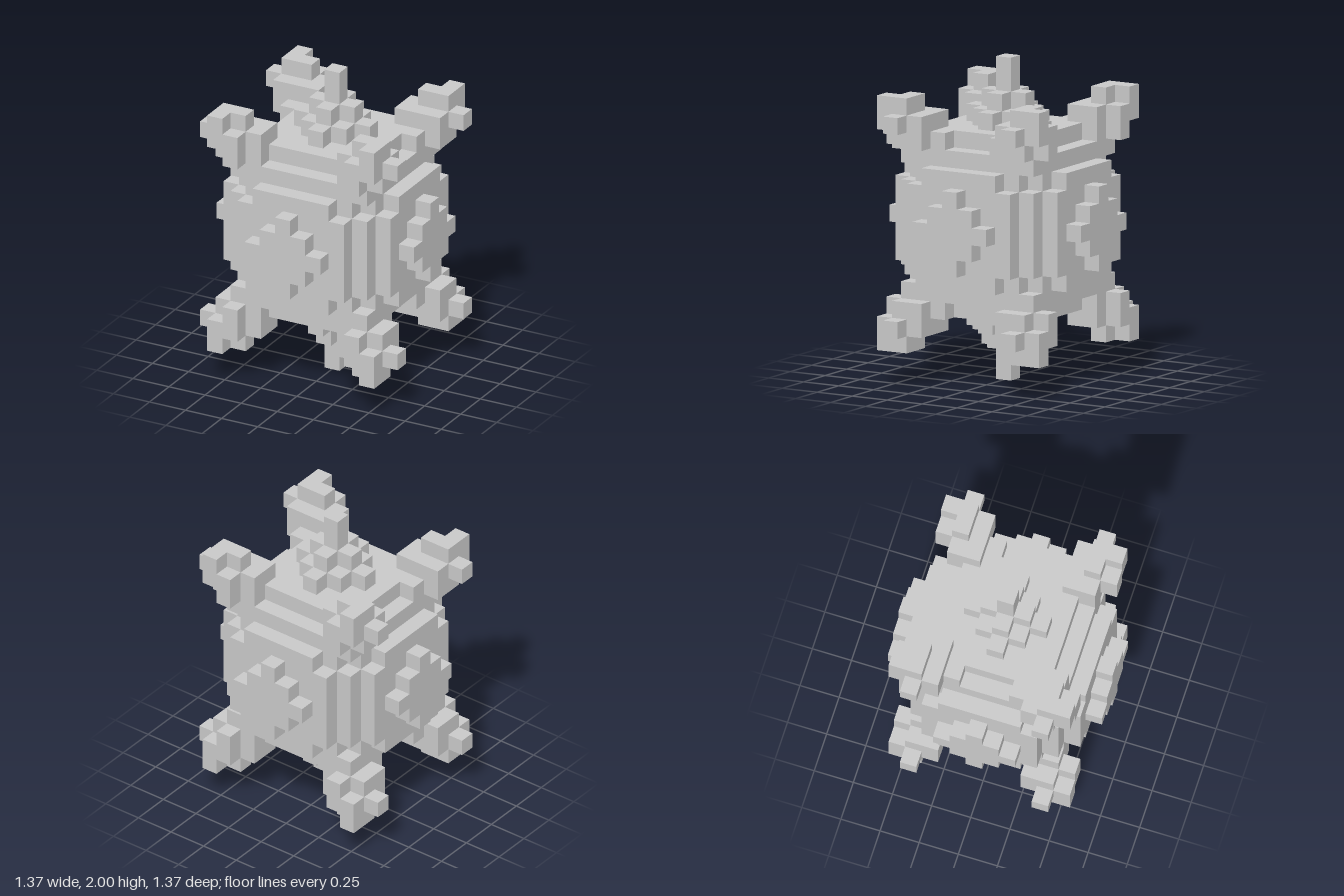
import * as THREE from 'three';

const U = 2 / 19; // one block

export function createModel() {
  const model = new THREE.Group();
  const grey = new THREE.MeshStandardMaterial({ color: 0xc8c8c8 });
  grey.name = 'lightGrey';

  // Box spanning whole blocks; ranges are inclusive block indices [x0, x1, y0, y1, z0, z1]
  const block = (parent, name, [x0, x1, y0, y1, z0, z1]) => {
    const geo = new THREE.BoxGeometry((x1 - x0 + 1) * U, (y1 - y0 + 1) * U, (z1 - z0 + 1) * U);
    const mesh = new THREE.Mesh(geo, grey);
    mesh.name = name;
    mesh.position.set((x0 + x1) / 2 * U, (y0 + y1) / 2 * U, (z0 + z1) / 2 * U);
    parent.add(mesh);
  };
  // Same box with each axis flipped where its sign is negative
  const flipped = (parent, name, r, sx, sy, sz) => {
    const f = (a, b, s) => (s > 0 ? [a, b] : [-b, -a]);
    block(parent, name, [...f(r[0], r[1], sx), ...f(r[2], r[3], sy), ...f(r[4], r[5], sz)]);
  };
  const group = (name) => {
    const g = new THREE.Group();
    g.name = name;
    model.add(g);
    return g;
  };

  // Core with a notch above and below each corner pillar
  const core = group('core');
  block(core, 'coreMiddle', [-4, 4, -2, 2, -4, 4]);
  for (const s of [1, -1]) {
    flipped(core, 'coreNeckWide', [-4, 4, 3, 3, -3, 3], 1, s, 1);
    flipped(core, 'coreNeckDeep', [-3, 3, 3, 3, -4, 4], 1, s, 1);
    flipped(core, 'coreCap', [-4, 4, 4, 4, -4, 4], 1, s, 1);
  }

  // Stepped panel and diamond stud on each of the four sides
  for (const s of [1, -1]) {
    const face = group(s > 0 ? 'frontPanel' : 'backPanel');
    flipped(face, 'panelTall', [-2, 2, -3, 3, 5, 5], 1, 1, s);
    flipped(face, 'panelWide', [-3, 3, -2, 2, 5, 5], 1, 1, s);
    const side = group(s > 0 ? 'leftPanel' : 'rightPanel');
    flipped(side, 'panelTall', [5, 5, -3, 3, -2, 2], s, 1, 1);
    flipped(side, 'panelWide', [5, 5, -2, 2, -3, 3], s, 1, 1);
    for (let i = -2; i <= 2; i++) {
      const h = 2 - Math.abs(i);
      flipped(face, 'diamondStud', [i, i, -h, h, 6, 6], 1, 1, s);
      flipped(side, 'diamondStud', [6, 6, -h, h, i, i], s, 1, 1);
    }
  }

  // Top and bottom plates with a stepped spire
  for (const s of [1, -1]) {
    const cap = group(s > 0 ? 'topPlate' : 'bottomPlate');
    flipped(cap, 'plateDeep', [-2, 2, 5, 5, -3, 3], 1, s, 1);
    flipped(cap, 'plateWide', [-3, 3, 5, 5, -2, 2], 1, s, 1);
    for (const sx of [1, -1]) for (const sz of [1, -1]) {
      flipped(cap, 'plateLug', [4, 4, 5, 5, 2, 2], sx, s, sz);
    }
    const spire = group(s > 0 ? 'topSpire' : 'bottomSpire');
    for (let i = -2; i <= 2; i++) {
      const h = 2 - Math.abs(i);
      flipped(spire, 'spireBase', [i, i, 6, 6, -h, h], 1, s, 1);
      if (h > 0) flipped(spire, 'spireStep', [i, i, 7, 7, 1 - h, h - 1], 1, s, 1);
    }
    flipped(spire, 'spireTip', [0, 0, 8, 9, 0, 0], 1, s, 1);
  }

  // Eight horns at the corners
  const hornParts = {
    hornArmInner: [3, 3, 5, 6, 3, 4],
    hornArmOuter: [4, 5, 5, 6, 3, 3],
    hornCore: [4, 4, 5, 7, 4, 4],
    hornSide: [5, 5, 5, 7, 4, 4],
    hornFace: [4, 4, 5, 6, 5, 5],
    hornTip: [5, 5, 6, 7, 5, 5],
    hornKnob: [6, 6, 6, 6, 4, 4],
  };
  for (const sx of [1, -1]) for (const sy of [1, -1]) for (const sz of [1, -1]) {
    const horn = group(`${sy > 0 ? 'top' : 'bottom'}${sz > 0 ? 'Front' : 'Back'}${sx > 0 ? 'Left' : 'Right'}Horn`);
    for (const [name, r] of Object.entries(hornParts)) flipped(horn, name, r, sx, sy, sz);
  }

  // Stand on the ground
  for (const part of model.children) part.position.y = 1;
  return model;
}
